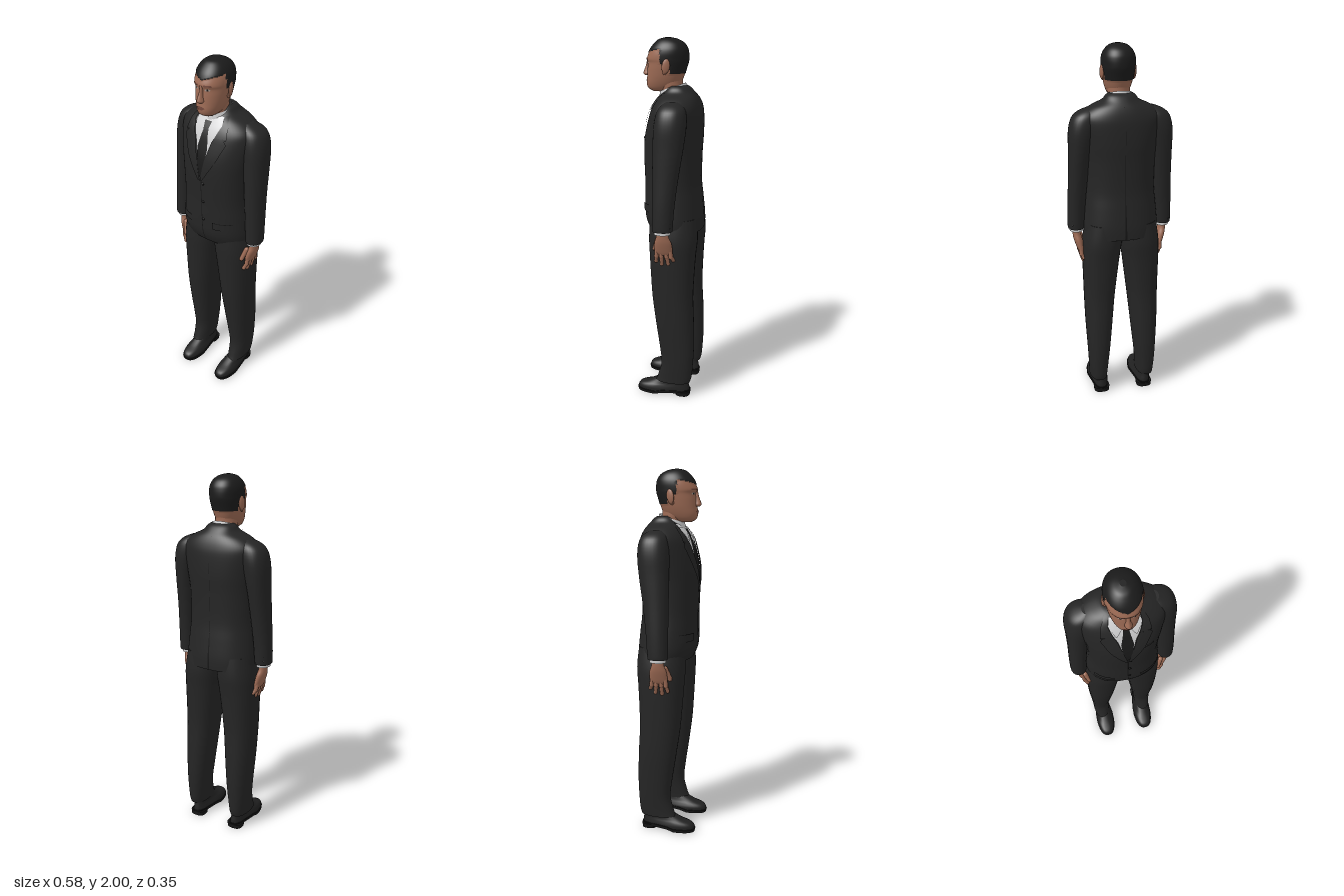
import * as THREE from 'three';

const paint = (name, color, side = THREE.FrontSide) => {
  const m = new THREE.MeshStandardMaterial({ color, side });
  m.name = name;
  return m;
};

// Smoothly subdivide sections [y, x0, x1, z0, z1]
function refine(sections, sub) {
  const rows = [], n = sections.length;
  const at = i => sections[Math.max(0, Math.min(n - 1, i))];
  for (let i = 0; i < n - 1; i++) for (let k = 0; k < sub; k++) {
    const t = k / sub, [a, b, c, d] = [at(i - 1), at(i), at(i + 1), at(i + 2)];
    rows.push(b.map((v, e) => 0.5 * (2 * v + (c[e] - a[e]) * t + (2 * a[e] - 5 * v + 4 * c[e] - d[e]) * t * t
      + (3 * v - a[e] - 3 * c[e] + d[e]) * t * t * t)));
  }
  rows.push(sections[n - 1]);
  return rows;
}

// Skin superellipse sections, listed bottom to top; pick sorts faces into two materials
function loft(sections, { segs = 32, sub = 4, power = 2, caps = true, tweak, pick } = {}) {
  const rows = refine(sections, sub), pos = [], groups = [[], []];
  const pw = c => Math.sign(c) * Math.abs(c) ** (2 / power);
  const addRing = ([y, x0, x1, z0, z1]) => {
    for (let i = 0; i < segs; i++) {
      const a = i / segs * Math.PI * 2;
      const v = new THREE.Vector3((x0 + x1) / 2 + (x1 - x0) / 2 * pw(Math.cos(a)), y, (z0 + z1) / 2 + (z1 - z0) / 2 * pw(Math.sin(a)));
      if (tweak) tweak(v);
      pos.push(v.x, v.y, v.z);
    }
  };
  rows.forEach(addRing);
  for (let j = 0; j < rows.length - 1; j++) for (let i = 0; i < segs; i++) {
    const k = (i + 1) % segs, a = j * segs + i, b = j * segs + k, c = b + segs, d = a + segs;
    const mid = e => (pos[a * 3 + e] + pos[b * 3 + e] + pos[c * 3 + e] + pos[d * 3 + e]) / 4;
    groups[pick && pick(mid(0), mid(1), mid(2)) ? 1 : 0].push(a, d, b, b, d, c);
  }
  if (caps) [rows[0], rows[rows.length - 1]].forEach((row, top) => {
    const start = pos.length / 3;
    addRing(row);
    const centre = new THREE.Vector3((row[1] + row[2]) / 2, row[0], (row[3] + row[4]) / 2);
    if (tweak) tweak(centre);
    pos.push(centre.x, centre.y, centre.z);
    for (let i = 0; i < segs; i++) {
      const p = start + i, q = start + (i + 1) % segs;
      groups[pick && top ? 1 : 0].push(start + segs, top ? q : p, top ? p : q);
    }
  });
  const g = new THREE.BufferGeometry();
  g.setAttribute('position', new THREE.Float32BufferAttribute(pos, 3));
  g.setIndex([...groups[0], ...groups[1]]);
  if (pick) {
    g.addGroup(0, groups[0].length, 0);
    g.addGroup(groups[0].length, groups[1].length, 1);
  }
  g.computeVertexNormals();
  return g;
}

// Thin plate lying on the front (dir 1) or back (dir -1) of a loft; rows [y, xLeft, xRight] go downwards
function plate(sections, power, rows, lift, dir = 1) {
  const body = refine(sections, 6), pos = [], index = [], cols = 10, steps = 6;
  const depth = (x, y) => {
    let i = 0;
    while (i < body.length - 2 && body[i + 1][0] < y) i++;
    const t = THREE.MathUtils.clamp((y - body[i][0]) / (body[i + 1][0] - body[i][0]), 0, 1);
    const [, x0, x1, z0, z1] = body[i].map((v, e) => v + (body[i + 1][e] - v) * t);
    const u = Math.min(1, Math.abs((x - (x0 + x1) / 2) / ((x1 - x0) / 2)));
    return (z0 + z1) / 2 + dir * ((z1 - z0) / 2 * (1 - u ** power) ** (1 / power) + lift);
  };
  const total = (rows.length - 1) * steps;
  for (let r = 0; r <= total; r++) {
    const i = Math.min(rows.length - 2, Math.floor(r / steps)), t = r / steps - i;
    const [y, xa, xb] = rows[i].map((v, e) => v + (rows[i + 1][e] - v) * t);
    for (let c = 0; c <= cols; c++) {
      const x = xa + (xb - xa) * c / cols;
      pos.push(x, y, depth(x, y));
      if (r < total && c < cols) {
        const a = r * (cols + 1) + c, b = a + 1, d = a + cols + 1, e = d + 1;
        index.push(...(dir > 0 ? [a, d, b, b, d, e] : [a, b, d, b, e, d]));
      }
    }
  }
  const g = new THREE.BufferGeometry();
  g.setAttribute('position', new THREE.Float32BufferAttribute(pos, 3));
  g.setIndex(index);
  g.computeVertexNormals();
  return g;
}

const flip = (rows, s) => s > 0 ? rows : rows.map(([y, a, b, ...z]) => [y, -b, -a, ...z]);
const even = rows => rows.map(([y, w, ...z]) => [y, -w, w, ...z]);

export function createModel() {
  const group = new THREE.Group();
  group.name = 'suitedMan';
  const suit = paint('suit', 0x252525), dark = paint('darkSeam', 0x151515), tieCloth = paint('tie', 0x191919);
  const shirt = paint('shirt', 0xcfcfd0, THREE.DoubleSide), skin = paint('skin', 0x9c6a54), hair = paint('hair', 0x1b1b1b);
  const lip = paint('lipAndBrow', 0x70463a), leather = paint('shoeLeather', 0x212121), eyeWhite = paint('eyeWhite', 0xa69a92);
  const add = (name, geometry, material) => {
    const mesh = new THREE.Mesh(geometry, material);
    mesh.name = name;
    group.add(mesh);
    return mesh;
  };
  const ball = (name, m, x, y, z, rx, ry, rz) => {
    const b = add(name, new THREE.SphereGeometry(1, 20, 14), m);
    b.position.set(x, y, z);
    b.scale.set(rx, ry, rz);
    return b;
  };
  const rod = (name, m, a, b, r) => {
    const p = new THREE.Vector3(...a), q = new THREE.Vector3(...b), d = q.clone().sub(p);
    const mesh = add(name, new THREE.CapsuleGeometry(r, d.length(), 6, 12), m);
    mesh.position.copy(p).add(q).multiplyScalar(0.5);
    mesh.quaternion.setFromUnitVectors(new THREE.Vector3(0, 1, 0), d.normalize());
  };

  // Jacket body
  const torso = even([[0.985, 0.203, -0.17, 0.118], [1.05, 0.205, -0.17, 0.145], [1.15, 0.197, -0.16, 0.15],
    [1.25, 0.188, -0.15, 0.15], [1.4, 0.192, -0.152, 0.154], [1.5, 0.205, -0.157, 0.146], [1.6, 0.22, -0.155, 0.12],
    [1.65, 0.212, -0.147, 0.1], [1.69, 0.165, -0.132, 0.076], [1.72, 0.1, -0.112, 0.056], [1.745, 0.078, -0.09, 0.035],
    [1.757, 0.06, -0.07, 0.02]]);
  add('jacketBody', loft(torso, { segs: 56, power: 2.3 }), suit);
  const onTorso = (name, rows, lift, m, dir) => add(name, plate(torso, 2.3, rows, lift, dir), m);
  onTorso('shirtFront', even([[1.715, 0.07], [1.68, 0.08], [1.64, 0.068], [1.58, 0.042], [1.42, 0.008]]), 0.003, shirt);
  onTorso('tieBlade', even([[1.655, 0.014], [1.56, 0.031], [1.5, 0.026], [1.4, 0.006]]), 0.006, tieCloth);
  onTorso('tieKnot', even([[1.69, 0.021], [1.65, 0.014]]), 0.009, tieCloth);
  onTorso('frontOpening', [[1.4, -0.002, 0.002], [1.2, 0, 0.004], [0.99, 0.004, 0.009]], 0.002, dark);
  onTorso('breastPocket', [[1.5, 0.075, 0.135], [1.485, 0.075, 0.135]], 0.004, suit);
  onTorso('backVent', [[1.19, -0.002, 0.002], [0.986, -0.006, 0.006]], 0.002, dark, -1);
  onTorso('backSeam', even([[1.7, 0.001], [1.19, 0.001]]), 0.001, dark, -1);
  for (const y of [1.36, 1.25, 1.14]) ball('jacketButton', dark, 0.012, y, 0.153, 0.008, 0.008, 0.004);

  // Neck and shirt collar
  add('neck', loft(even([[1.65, 0.06, -0.06, 0.06], [1.72, 0.058, -0.052, 0.066], [1.77, 0.06, -0.046, 0.085], [1.82, 0.06, -0.05, 0.09]])), skin);
  add('shirtCollar', loft(even([[1.7, 0.08, -0.082, 0.08], [1.74, 0.073, -0.073, 0.078], [1.772, 0.066, -0.064, 0.074]]),
    { caps: false, tweak: v => { v.y -= 0.32 * (v.z + 0.07); } }), shirt);

  for (const s of [1, -1]) {
    // Lapels, collar points and pockets
    onTorso('collarPoint', flip([[1.7, 0.012, 0.075], [1.665, 0.02, 0.072], [1.625, 0.046, 0.052]], s), 0.008, shirt);
    onTorso('lapelUpper', flip([[1.72, 0.075, 0.09], [1.68, 0.082, 0.115], [1.625, 0.062, 0.125]], s), 0.009, suit);
    onTorso('lapelLower', flip([[1.625, 0.062, 0.108], [1.6, 0.05, 0.128], [1.5, 0.024, 0.085], [1.38, 0, 0.012]], s), 0.009, suit);
    onTorso('lapelNotch', flip([[1.627, 0.1, 0.126], [1.618, 0.108, 0.122]], s), 0.0095, dark);
    onTorso('pocketFlap', flip([[1.135, 0.07, 0.168], [1.095, 0.072, 0.17]], s), 0.006, suit);
    onTorso('pocketSeam', flip([[1.138, 0.07, 0.168], [1.134, 0.07, 0.168]], s), 0.007, dark);

    // Sleeve, shirt cuff and cuff buttons
    add('sleeve', loft(flip([[1.02, 0.202, 0.289, -0.052, 0.055], [1.04, 0.2, 0.291, -0.054, 0.056], [1.15, 0.193, 0.289, -0.062, 0.056],
      [1.3, 0.18, 0.283, -0.08, 0.056], [1.45, 0.165, 0.28, -0.103, 0.055], [1.56, 0.14, 0.279, -0.115, 0.053],
      [1.63, 0.12, 0.264, -0.11, 0.043], [1.665, 0.12, 0.232, -0.092, 0.026], [1.686, 0.13, 0.185, -0.06, 0]], s), { power: 2.2 }), suit);
    add('shirtCuff', loft(flip([[1.003, 0.208, 0.281, -0.042, 0.047], [1.03, 0.208, 0.281, -0.042, 0.047]], s)), shirt);
    for (const y of [1.045, 1.07, 1.095]) ball('cuffButton', dark, s * 0.268, y, -0.043, 0.006, 0.006, 0.006);

    // Hand with fingers and thumb
    add('palm', loft(flip([[0.88, 0.206, 0.234, -0.046, 0.044], [0.9, 0.204, 0.244, -0.05, 0.05], [0.95, 0.212, 0.26, -0.046, 0.047],
      [0.985, 0.222, 0.265, -0.033, 0.036], [1.02, 0.224, 0.265, -0.028, 0.034]], s)), skin);
    [[0.036, 0.046, 0.838], [0.013, 0.014, 0.823], [-0.011, -0.022, 0.827], [-0.034, -0.05, 0.85]].forEach(([z0, z1, y]) => {
      const k = [s * 0.224, 0.87, z0 * 0.6 + z1 * 0.4];
      rod('fingerBase', skin, [s * 0.227, 0.91, z0], k, 0.0125);
      rod('fingerTip', skin, k, [s * 0.211, y, z1], 0.0105);
    });
    rod('thumb', skin, [s * 0.218, 0.965, 0.035], [s * 0.2, 0.905, 0.055], 0.013);

    // Trouser leg
    add('trouserLeg', loft(flip([[0.085, 0.09, 0.19, -0.13, 0.068], [0.12, 0.088, 0.191, -0.14, 0.055], [0.2, 0.081, 0.196, -0.146, 0.036],
      [0.3, 0.07, 0.201, -0.15, 0.046], [0.45, 0.055, 0.208, -0.147, 0.068], [0.6, 0.04, 0.211, -0.14, 0.088],
      [0.72, 0.026, 0.213, -0.143, 0.097], [0.85, 0.01, 0.215, -0.15, 0.105], [0.95, -0.004, 0.212, -0.158, 0.11],
      [1.06, -0.01, 0.195, -0.15, 0.105]], s), { power: 2.3 }), suit);

    // Shoe: narrow waist, sole and heel block
    const waist = v => { v.x = s * 0.129 + (v.x - s * 0.129) * (v.z > 0.04 ? 1 : 1 - 0.2 * Math.min(1, (0.04 - v.z) / 0.08)); };
    add('shoeUpper', loft(flip([[0.015, 0.074, 0.186, -0.125, 0.177], [0.035, 0.074, 0.186, -0.126, 0.176], [0.052, 0.08, 0.182, -0.124, 0.158],
      [0.07, 0.088, 0.176, -0.12, 0.105], [0.1, 0.095, 0.172, -0.115, 0.045]], s), { power: 2.5, tweak: waist }), leather);
    add('shoeSole', loft(flip([[0.004, 0.071, 0.189, -0.126, 0.179], [0.02, 0.07, 0.19, -0.13, 0.182]], s), { power: 2.6, tweak: v => {
      waist(v);
      if (v.z < 0.06) v.y += 0.012;
    } }), dark);
    add('shoeHeel', loft(flip([[0, 0.085, 0.173, -0.128, -0.045], [0.025, 0.083, 0.175, -0.13, -0.04]], s), { power: 2.8 }), dark);
  }

  // Head, with the hair as raised faces above a hairline
  const head = even([[1.725, 0.03, 0.04, 0.112], [1.74, 0.049, 0, 0.138], [1.765, 0.063, -0.035, 0.147], [1.8, 0.074, -0.052, 0.144],
    [1.84, 0.081, -0.064, 0.141], [1.872, 0.085, -0.074, 0.138], [1.892, 0.087, -0.077, 0.144], [1.92, 0.087, -0.076, 0.134],
    [1.945, 0.081, -0.07, 0.121], [1.97, 0.066, -0.052, 0.1], [1.988, 0.043, -0.02, 0.077], [1.996, 0.014, 0.015, 0.046]]);
  const isHair = (x, y, z) => z < 0.005 ? y > 1.817 : z < 0.056 ? y > 1.868 : y > 1.915 + 0.32 * Math.abs(x);
  add('headAndHair', loft(head, { segs: 72, sub: 6, power: 2.15, pick: isHair, tweak: v => {
    if (isHair(v.x, v.y, v.z)) v.sub(new THREE.Vector3(0, 1.87, 0.03)).multiplyScalar(1.03).add(new THREE.Vector3(0, 1.87, 0.03));
  } }), [skin, hair]);
  add('nose', loft(even([[1.806, 0.013, 0.12, 0.158], [1.815, 0.018, 0.12, 0.167], [1.83, 0.014, 0.12, 0.164],
    [1.855, 0.01, 0.12, 0.154], [1.89, 0.009, 0.12, 0.146]])), skin);
  const onFace = (name, rows, lift, m) => add(name, plate(head, 2.15, rows, lift), m);
  onFace('upperLip', even([[1.787, 0.01], [1.779, 0.026]]), 0.004, lip);
  onFace('lowerLip', even([[1.779, 0.026], [1.769, 0.012]]), 0.003, lip);
  for (const s of [1, -1]) {
    onFace('eyebrow', flip([[1.897, 0.018, 0.052], [1.889, 0.015, 0.055]], s), 0.003, lip);
    onFace('eye', flip([[1.877, 0.026, 0.04], [1.872, 0.02, 0.047], [1.867, 0.026, 0.042]], s), 0.002, eyeWhite);
    onFace('iris', flip([[1.877, 0.03, 0.038], [1.867, 0.03, 0.038]], s), 0.003, hair);
    ball('ear', skin, s * 0.088, 1.857, 0.022, 0.009, 0.038, 0.021).rotation.set(-0.15, s * 0.25, 0);
    ball('earLobe', skin, s * 0.083, 1.826, 0.03, 0.007, 0.013, 0.011);
  }
  return group;
}
